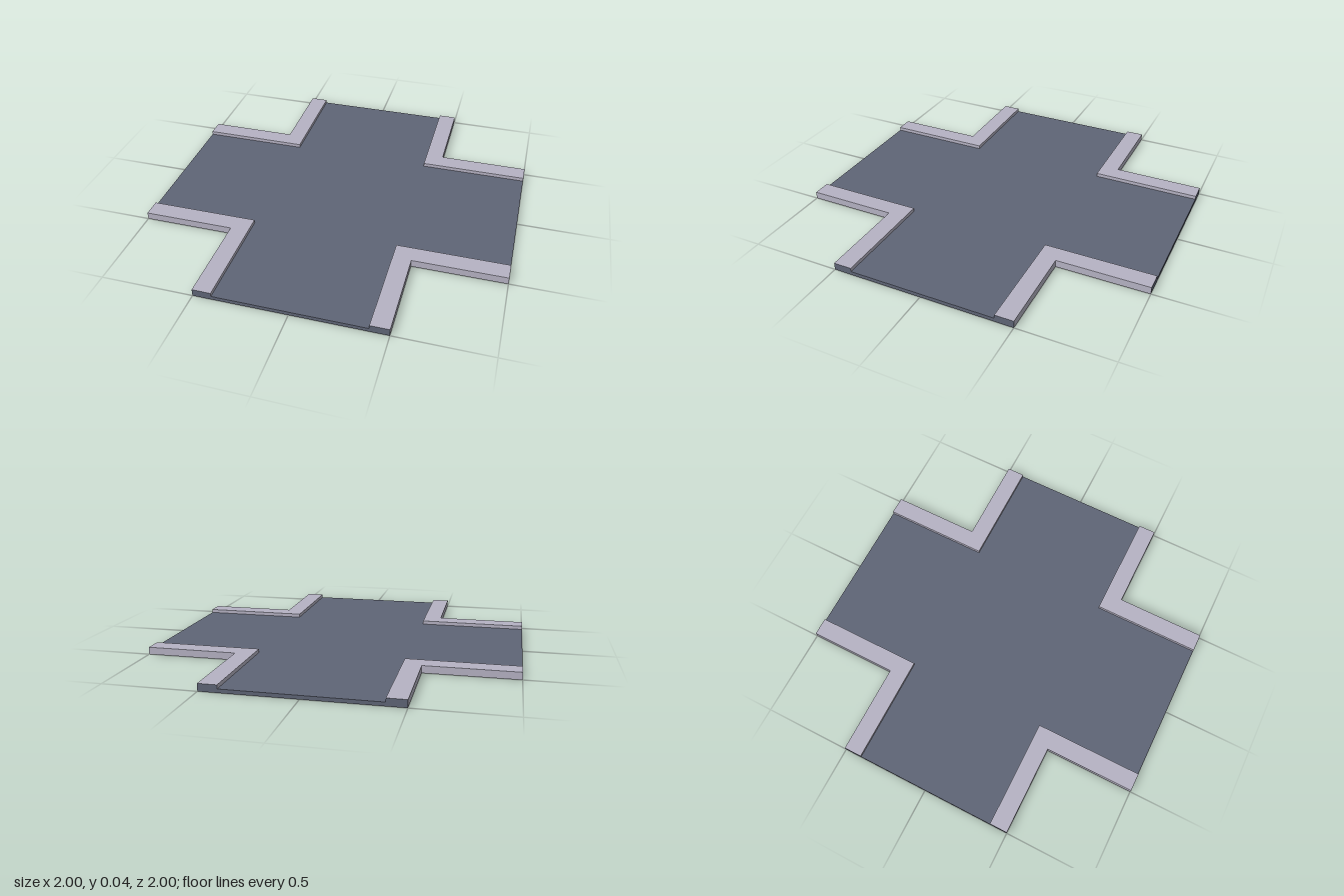
import * as THREE from 'three';

const asphalt = new THREE.MeshStandardMaterial({ color: 0x5f6576 });
asphalt.name = 'asphalt';
const kerbStone = new THREE.MeshStandardMaterial({ color: 0xb6b3c4 });
kerbStone.name = 'kerbStone';

const ROAD = 0.4;    // half width of the road
const EDGE = 0.5;    // outer edge of the kerbs
const END = 1;       // reach of each arm
const ROAD_H = 0.02;
const KERB_H = 0.04;

// Extrudes a ground outline upwards; rule(centre) picks asphalt (0) or stone (1) per face
function slab(name, points, height, rule) {
  const shape = new THREE.Shape(points.map(([x, y]) => new THREE.Vector2(x, y)));
  const geometry = new THREE.ExtrudeGeometry(shape, { depth: height, bevelEnabled: false });
  geometry.rotateX(-Math.PI / 2);
  geometry.clearGroups();
  const pos = geometry.attributes.position;
  const centre = new THREE.Vector3();
  const corner = new THREE.Vector3();
  for (let i = 0; i < pos.count; i += 3) {
    centre.set(0, 0, 0);
    for (let k = 0; k < 3; k++) centre.add(corner.fromBufferAttribute(pos, i + k));
    geometry.addGroup(i, 3, rule(centre.divideScalar(3)));
  }
  const mesh = new THREE.Mesh(geometry, [asphalt, kerbStone]);
  mesh.name = name;
  return mesh;
}

export function createModel() {
  const group = new THREE.Group();
  group.name = 'crossroads';

  // Cross-shaped road bed with a pale underside
  const a = ROAD, e = END;
  group.add(slab('road', [
    [a, -e], [a, -a], [e, -a], [e, a], [a, a], [a, e],
    [-a, e], [-a, a], [-e, a], [-e, -a], [-a, -a], [-a, -e],
  ], ROAD_H, (c) => (c.y < 1e-4 ? 1 : 0)));

  // One L-shaped kerb per corner, with dark faces where the arms end
  const isEnd = (c) => Math.max(Math.abs(c.x), Math.abs(c.z)) > END - 1e-4;
  for (let i = 0; i < 4; i++) {
    const kerb = slab('kerb' + (i + 1), [
      [ROAD, ROAD], [END, ROAD], [END, EDGE], [EDGE, EDGE], [EDGE, END], [ROAD, END],
    ], KERB_H, (c) => (isEnd(c) ? 0 : 1));
    kerb.rotation.y = (i * Math.PI) / 2;
    group.add(kerb);
  }

  return group;
}
